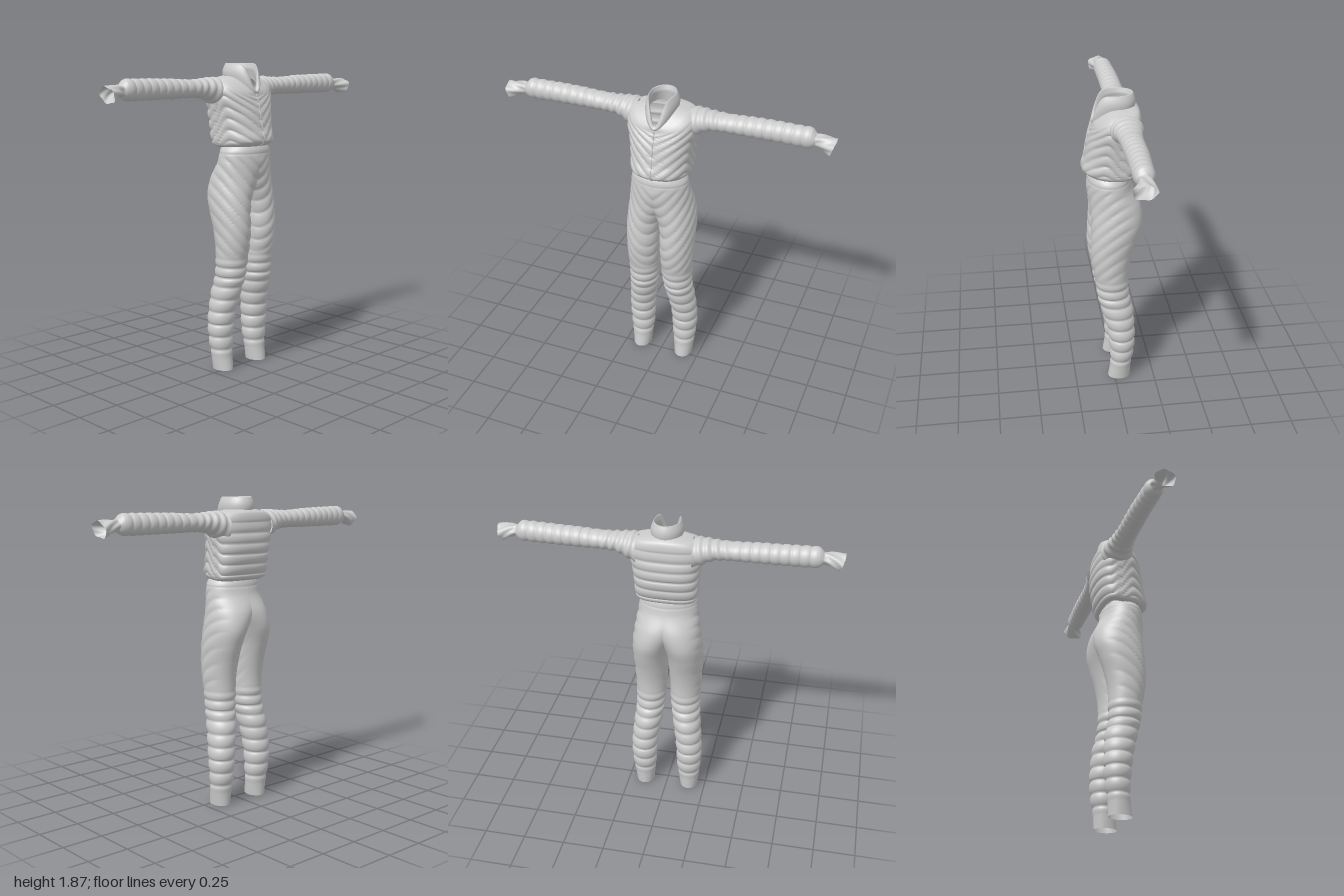
import * as THREE from 'three';

const material = new THREE.MeshStandardMaterial({ color: 0xcccccc, side: THREE.DoubleSide });

// Smooth interpolation of a table of rows; the first column is the position along the part.
function sample(rows, u) {
  const s = Math.min(u, 0.99999) * (rows.length - 1);
  const i = Math.floor(s), t = s - i;
  const slope = (k, c) => {
    const a = rows[Math.max(k - 1, 0)], b = rows[Math.min(k + 1, rows.length - 1)];
    return (b[c] - a[c]) / (b[0] - a[0]);
  };
  const p = rows[i], q = rows[i + 1], h = q[0] - p[0];
  return p.map((v, c) => {
    if (c === 0) return v + h * t;
    const t2 = t * t, t3 = t2 * t;
    return (2 * t3 - 3 * t2 + 1) * v + (t3 - 2 * t2 + t) * h * slope(i, c)
      + (3 * t2 - 2 * t3) * q[c] + (t3 - t2) * h * slope(i + 1, c);
  });
}

// Surface from point(u, v); closed surfaces wrap around in v, hole() leaves quads out.
function loft(point, nu, nv, closed, hole = () => false) {
  const pos = [], idx = [], cols = closed ? nv : nv + 1;
  for (let i = 0; i <= nu; i++) {
    for (let j = 0; j < cols; j++) pos.push(...point(i / nu, j / nv));
  }
  for (let i = 0; i < nu; i++) {
    for (let j = 0; j < nv; j++) {
      const k = (j + 1) % cols;
      const a = i * cols + j, b = i * cols + k, c = b + cols, d = a + cols;
      if (!hole(pos[a * 3], pos[a * 3 + 1], pos[a * 3 + 2])) idx.push(a, b, d, b, c, d);
    }
  }
  const g = new THREE.BufferGeometry();
  g.setAttribute('position', new THREE.Float32BufferAttribute(pos, 3));
  g.setIndex(idx);
  g.computeVertexNormals();
  return g;
}

const TAU = Math.PI * 2;
const spow = (v, e) => Math.sign(v) * Math.abs(v) ** e;
const step = (a, b, v) => THREE.MathUtils.smoothstep(v, a, b);
// Quilted bulge: rounded tops with narrow creases
const puff = (v, spacing) => Math.sqrt(Math.abs(Math.sin(Math.PI * v / spacing))) - 0.75;

// y, half width, front z, back z, drop of the front towards the neck
const torsoRows = [
  [1.39, 0.15, 0.11, -0.105, 0], [1.4, 0.172, 0.145, -0.125, 0], [1.43, 0.182, 0.178, -0.138, 0],
  [1.5, 0.185, 0.163, -0.155, 0], [1.6, 0.195, 0.145, -0.168, 0], [1.7, 0.212, 0.125, -0.165, 0.03],
  [1.76, 0.205, 0.117, -0.163, 0.065], [1.79, 0.17, 0.115, -0.155, 0.085],
  [1.803, 0.12, 0.114, -0.14, 0.09], [1.81, 0.08, 0.112, -0.125, 0.09],
];
function torsoPoint(u, v) {
  const [y, rx, zf, zb, drop] = sample(torsoRows, u);
  const s = Math.sin(v * TAU), c = Math.cos(v * TAU);
  const front = Math.max(0, c);
  let x = rx * spow(s, 0.8);
  let z = -0.03 + (c > 0 ? (zf + 0.03) * c : (zb + 0.03) * Math.abs(c) ** 0.55);
  // chevron quilting in front, level rolls on the back
  const slant = step(-0.3, 0.5, c);
  const fade = step(1.395, 1.44, y) * (1 - step(1.68, 1.79, y));
  const d = 0.012 * fade * puff(y - slant * 0.8 * Math.abs(x), 0.062);
  x += d * s;
  z += d * c;
  return [x, y - drop * front * front, z];
}

// Stand-up collar opening to a V: outer face up, inner face back down
function collarPoint(u, v) {
  const s = Math.sin(v * TAU), c = Math.cos(v * TAU);
  const f = Math.max(0, c) ** 2;
  const inner = u > 0.5;
  const h = inner ? 2 - 2 * u : 2 * u;
  const inset = inner ? 0.014 * Math.min(1, (u - 0.5) * 6) : 0;
  const bulge = inner ? 0 : 0.01 * Math.sin(Math.PI * h);
  const rx = THREE.MathUtils.lerp(0.09, 0.074, h) + bulge - inset;
  const rz = THREE.MathUtils.lerp(c > 0 ? 0.147 : 0.103, c > 0 ? 0.135 : 0.092, h) + bulge - inset;
  const y = THREE.MathUtils.lerp(1.795 - 0.088 * f, 1.883 - 0.153 * f ** 3, h);
  return [rx * s, y, -0.03 + rz * c];
}

// x, centre y, half height, centre z, half depth
const sleeveRows = [
  [0.16, 1.713, 0.088, -0.06, 0.1], [0.22, 1.728, 0.074, -0.06, 0.088], [0.28, 1.739, 0.057, -0.06, 0.073],
  [0.36, 1.741, 0.052, -0.06, 0.066], [0.44, 1.742, 0.054, -0.06, 0.063], [0.52, 1.744, 0.057, -0.06, 0.062],
  [0.6, 1.745, 0.058, -0.06, 0.061], [0.68, 1.746, 0.059, -0.058, 0.059], [0.76, 1.746, 0.06, -0.055, 0.057],
  [0.82, 1.747, 0.06, -0.053, 0.056], [0.858, 1.747, 0.057, -0.052, 0.053], [0.872, 1.745, 0.045, -0.051, 0.045],
  [0.885, 1.744, 0.033, -0.05, 0.037], [0.92, 1.74, 0.036, -0.046, 0.044], [0.985, 1.724, 0.046, -0.036, 0.064],
];
function sleevePoint(u, v) {
  const [x, cy, ry, cz, rz] = sample(sleeveRows, u);
  const a = v * TAU;
  const quilt = 0.009 * step(0.26, 0.45, x) * (1 - step(0.84, 0.87, x)) * puff(x, 0.054);
  const folds = 0.004 * step(0.87, 0.9, x) * Math.sin(a * 5 + x * 60);
  const armFolds = 0.004 * (1 - step(0.3, 0.42, x)) * Math.sin(x * 130 + 2 * Math.cos(a));
  const d = quilt + folds + armFolds;
  return [x + 0.015 * step(0.9, 0.985, x) * Math.cos(a), cy + (ry + d) * Math.cos(a), cz + (rz + d) * Math.sin(a)];
}

// y, centre x, half width, front z, back z; above the crotch the section is cut at x = 0
const legRows = [
  [0.01, 0.145, 0.056, 0.04, -0.1], [0.1, 0.145, 0.066, 0.027, -0.105], [0.2, 0.145, 0.075, 0.026, -0.12],
  [0.3, 0.145, 0.08, 0.035, -0.128], [0.4, 0.138, 0.082, 0.05, -0.125], [0.5, 0.125, 0.085, 0.075, -0.118],
  [0.6, 0.113, 0.088, 0.1, -0.096], [0.7, 0.108, 0.093, 0.112, -0.09], [0.8, 0.108, 0.098, 0.13, -0.095],
  [0.9, 0.107, 0.103, 0.14, -0.115], [1.0, 0.106, 0.108, 0.136, -0.146], [1.1, 0.09, 0.12, 0.132, -0.174],
  [1.2, 0.05, 0.146, 0.136, -0.168], [1.3, 0, 0.18, 0.15, -0.126], [1.36, 0, 0.172, 0.147, -0.11],
  [1.4, 0, 0.15, 0.138, -0.1],
];
function legPoint(u, v) {
  const [y, cx, rx, zf, zb] = sample(legRows, u);
  const reach = Math.acos(-Math.min(1, Math.max(0, cx / rx)));
  const a = (v * 2 - 1) * reach;
  const c = Math.cos(a), s = -Math.sin(a);
  const zc = (zf + zb) / 2, rz = (zf - zb) / 2;
  let x = cx + rx * c, z = zc + rz * s;
  // level rolls on the lower leg, slanted quilting on thigh and hip
  const rolls = 0.014 * step(0.09, 0.14, y) * (1 - step(0.69, 0.73, y)) * puff(y + 0.02, y > 0.58 ? 0.062 : 0.08);
  const slant = 0.009 * step(0.71, 0.78, y) * (1 - step(1.3, 1.36, y)) * step(-0.9, 0, s)
    * puff(y - 0.9 * x + 0.7 * z, 0.085);
  const band = 0.006 * step(1.34, 1.36, y) * puff(y - 1.35, 0.05);
  const d = rolls + slant + band;
  x = Math.max(0, x + d * c * step(0, 0.03, x));
  z += d * s;
  return [x, y, z];
}

export function createModel() {
  const model = new THREE.Group();
  const add = (name, geometry, mirrored = false) => {
    const mesh = new THREE.Mesh(geometry, material);
    mesh.name = name;
    if (mirrored) mesh.scale.x = -1;
    model.add(mesh);
  };

  // Jacket body, open where the sleeves join
  const armhole = (x, y, z) => Math.abs(x) > 0.12 && Math.hypot(y - 1.74, z + 0.06) < 0.055;
  add('jacketBody', loft(torsoPoint, 126, 96, true, armhole));
  add('collar', loft(collarPoint, 24, 64, true));

  // Front zip along the centre line
  const zipPath = Array.from({ length: 40 }, (_, i) => {
    const [x, y, z] = torsoPoint(0.1 + 0.75 * i / 39, 0);
    return new THREE.Vector3(x, y, z);
  });
  add('zip', new THREE.TubeGeometry(new THREE.CatmullRomCurve3(zipPath), 80, 0.004, 6));

  // Sleeves and trouser legs, mirrored
  const sleeve = loft(sleevePoint, 196, 40, true);
  const leg = loft(legPoint, 210, 56, false);
  for (const [side, mirrored] of [['left', false], ['right', true]]) {
    add(side + 'Sleeve', sleeve, mirrored);
    add(side + 'TrouserLeg', leg, mirrored);
  }
  return model;
}
